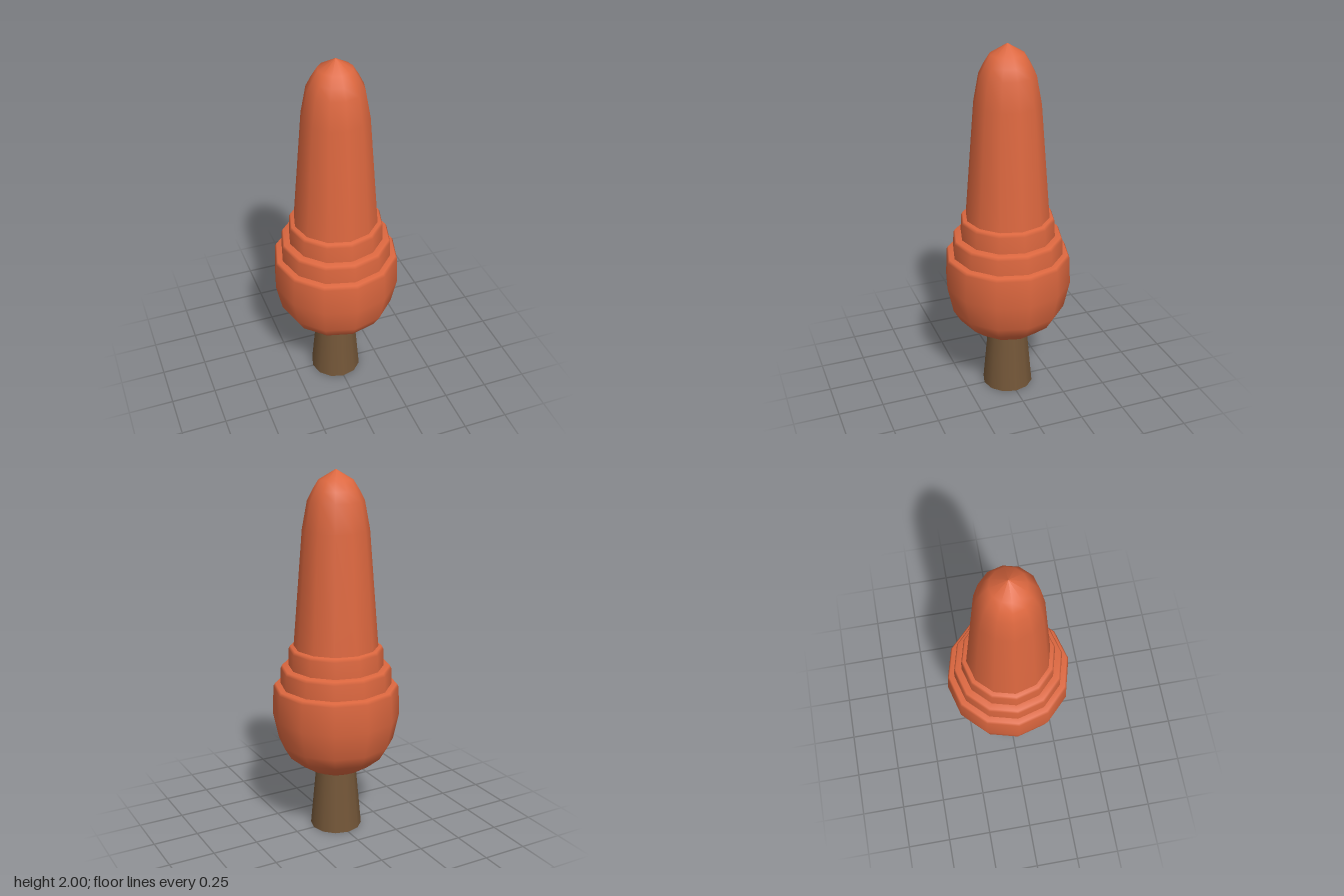
import * as THREE from 'three';

const SIDES = 12;

export function createModel() {
  const foliage = new THREE.MeshStandardMaterial({ color: 0xdc673f });
  foliage.name = 'orangeFoliage';
  const bark = new THREE.MeshStandardMaterial({ color: 0x735638 });
  bark.name = 'brownBark';

  const model = new THREE.Group();
  model.name = 'tree';

  // Adds a twelve-sided turned part from [radius, height] points, bottom to top
  const turn = (name, profile, material) => {
    const points = profile.map(([r, y]) => new THREE.Vector2(r, y));
    const mesh = new THREE.Mesh(new THREE.LatheGeometry(points, SIDES), material);
    mesh.name = name;
    model.add(mesh);
  };

  // Tapered trunk
  const trunk = new THREE.Mesh(new THREE.CylinderGeometry(0.11, 0.143, 0.36, SIDES), bark);
  trunk.name = 'trunk';
  trunk.position.y = 0.18;
  model.add(trunk);

  // Rounded bowl of foliage
  turn('lowerFoliage', [
    [0, 0.34], [0.12, 0.343], [0.2, 0.385], [0.277, 0.45], [0.318, 0.52],
    [0.35, 0.67], [0.343, 0.825], [0.333, 0.842], [0.28, 0.845],
  ], foliage);

  // Two stepped collars with softened upper rims
  [[0.305, 0.84, 0.95], [0.26, 0.945, 1.06]].forEach(([r, bottom, top], i) => {
    turn(`collar${i + 1}`, [
      [r, bottom], [r - 0.003, top - 0.02], [r - 0.012, top - 0.003], [r - 0.06, top],
    ], foliage);
  });

  // Tall spire with a domed tip
  turn('spire', [
    [0.23, 1.05], [0.178, 1.69], [0.15, 1.84], [0.122, 1.895], [0.09, 1.947], [0, 2],
  ], foliage);

  return model;
}
